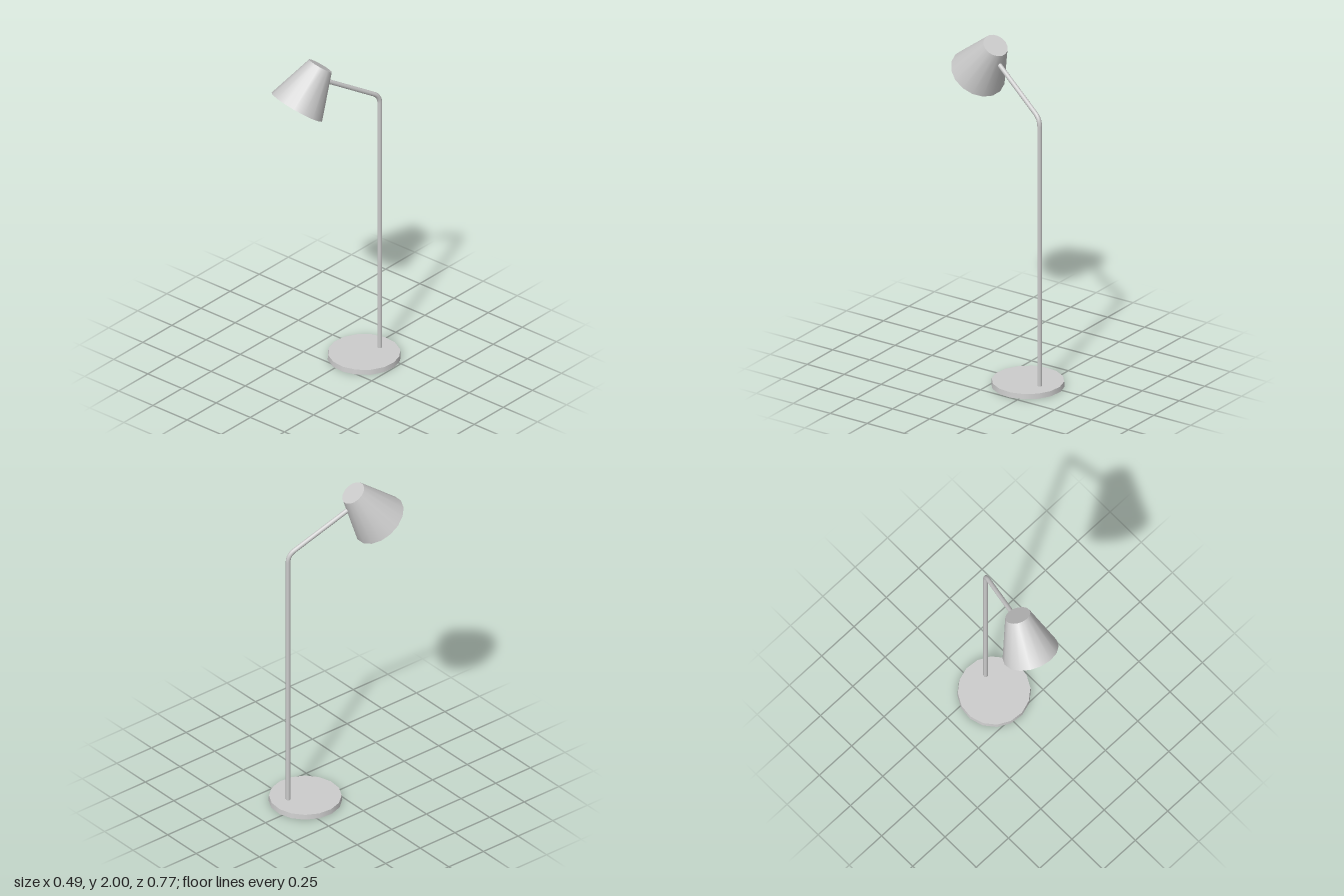
import * as THREE from 'three';

export function createModel() {
  const model = new THREE.Group();
  const grey = new THREE.MeshStandardMaterial({ color: 0xcccccc });
  const thin = new THREE.MeshStandardMaterial({ color: 0xcccccc, side: THREE.DoubleSide });

  // The whole lamp lies in one upright plane, turned slightly about y
  const lamp = new THREE.Group();
  lamp.name = 'floorLamp';
  lamp.position.set(0.042, 0, -0.178);
  lamp.rotation.y = -0.293;
  model.add(lamp);

  function add(name, geometry, material, parent = lamp) {
    const mesh = new THREE.Mesh(geometry, material);
    mesh.name = name;
    parent.add(mesh);
    return mesh;
  }
  const point = (y, z) => new THREE.Vector3(0, y, z);

  // Round foot
  add('base', new THREE.CylinderGeometry(0.203, 0.206, 0.03, 16), grey).position.y = 0.015;

  // Pole, rounded elbow and sloping arm
  const poleZ = -0.104;
  const foot = point(0.02, poleZ);
  const corner = point(1.645, poleZ);
  const armEnd = point(1.854, 0.254);
  const bend = 0.045;
  const toward = (end) => corner.clone().add(end.clone().sub(corner).setLength(bend));
  const poleTop = toward(foot);
  const armStart = toward(armEnd);
  const tube = (curve, steps) => new THREE.TubeGeometry(curve, steps, 0.0135, 12);
  add('pole', tube(new THREE.LineCurve3(foot, poleTop), 1), grey);
  add('elbow', tube(new THREE.QuadraticBezierCurve3(poleTop, corner, armStart), 8), grey);
  add('arm', tube(new THREE.LineCurve3(armStart, armEnd), 1), grey);

  // Tilted conical shade, open below and closed on top
  const shadeTop = point(1.96, 0.289);
  const shadeBottom = point(1.743, 0.446);
  const axis = shadeTop.clone().sub(shadeBottom);
  const height = axis.length();
  const shade = new THREE.Group();
  shade.name = 'shade';
  shade.position.copy(shadeTop).add(shadeBottom).multiplyScalar(0.5);
  shade.rotation.x = Math.atan2(axis.z, axis.y);
  lamp.add(shade);
  add('shadeWall', new THREE.CylinderGeometry(0.073, 0.1625, height, 16, 1, true), thin, shade);
  const cap = add('shadeCap', new THREE.CircleGeometry(0.073, 16), thin, shade);
  cap.rotation.x = -Math.PI / 2;
  cap.position.y = height / 2;

  return model;
}
